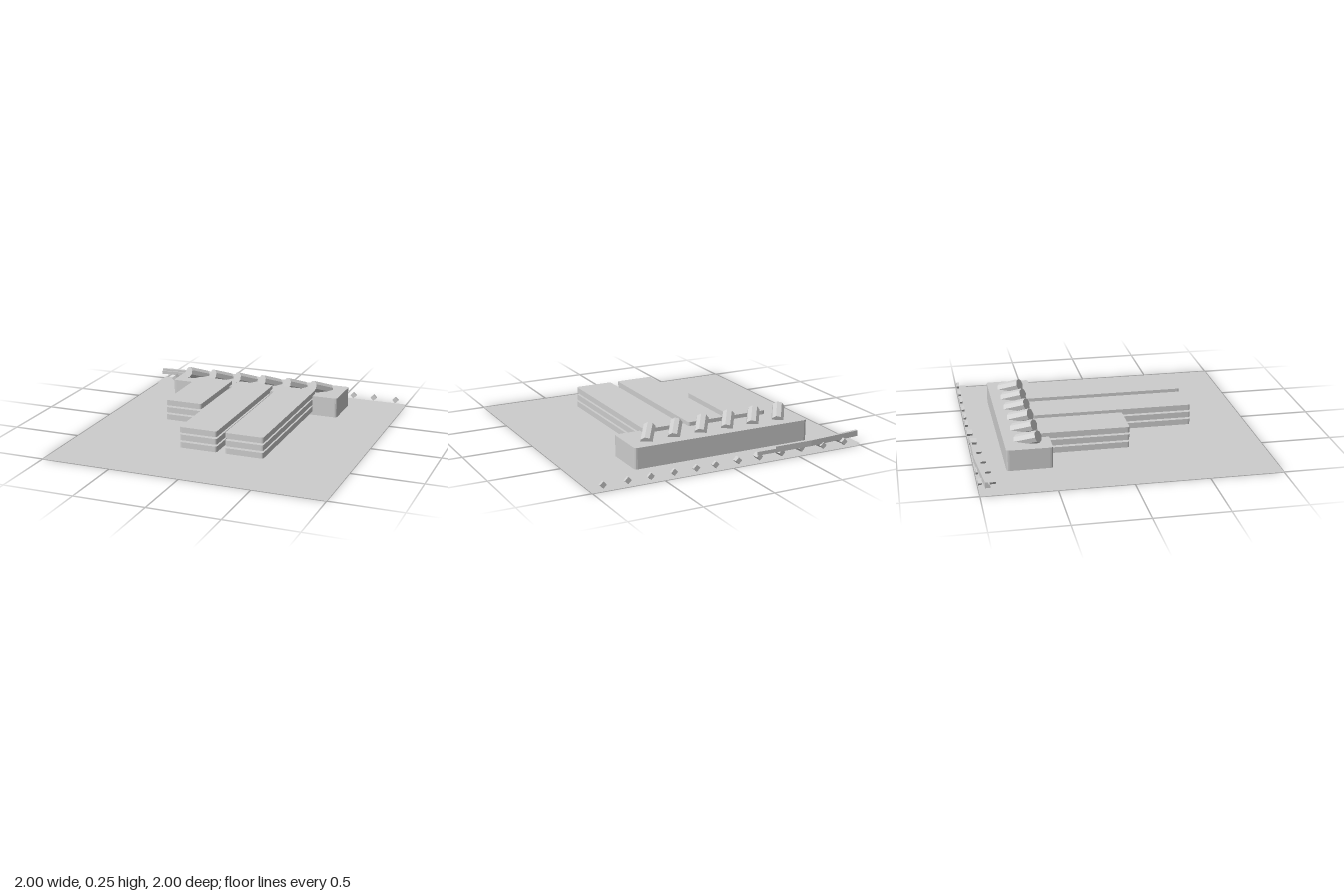
import * as THREE from 'three';

const grey = new THREE.MeshStandardMaterial({ color: 0xcccccc, flatShading: true, side: THREE.DoubleSide });
grey.name = 'lightGrey';

function add(parent, name, geometry) {
  const mesh = new THREE.Mesh(geometry, grey);
  mesh.name = name;
  parent.add(mesh);
  return mesh;
}

// Plan outline given as [x, z] points
const outline = pts => new THREE.Shape(pts.map(([x, z]) => new THREE.Vector2(x, -z)));

// Raise a plan outline from y0 to y1
function prism(shape, y0, y1) {
  return new THREE.ExtrudeGeometry(shape, { depth: y1 - y0, bevelEnabled: false, curveSegments: 3 })
    .rotateX(-Math.PI / 2).translate(0, y0, 0);
}

// Rectangle in plan with rounded corners
function roundedPlan(x0, x1, z0, z1, r) {
  const s = new THREE.Shape(), a = -z1, b = -z0;
  s.moveTo(x0 + r, a);
  s.lineTo(x1 - r, a); s.quadraticCurveTo(x1, a, x1, a + r);
  s.lineTo(x1, b - r); s.quadraticCurveTo(x1, b, x1 - r, b);
  s.lineTo(x0 + r, b); s.quadraticCurveTo(x0, b, x0, b - r);
  s.lineTo(x0, a + r); s.quadraticCurveTo(x0, a, x0 + r, a);
  return s;
}

export function createModel() {
  const model = new THREE.Group();
  model.name = 'siteModel';

  // Ground sheet and the road strip along the back
  add(model, 'ground', new THREE.PlaneGeometry(2, 2).rotateX(-Math.PI / 2));
  const road = outline([[-1, -0.82], [0.17, -0.93], [1, -0.925], [1, -1], [-1, -1]]);
  add(model, 'road', new THREE.ShapeGeometry(road).rotateX(-Math.PI / 2).translate(0, 0.013, 0));

  // Main hall
  add(model, 'hall', prism(roundedPlan(-0.695, 0.61, -0.795, -0.485, 0.02), 0.022, 0.167));

  // Three wings, each a stack of floor slabs
  for (const [x0, x1, z1] of [[-0.508, -0.235, 0.065], [-0.18, 0.09, 0.57], [0.15, 0.423, 0.57]]) {
    const wing = new THREE.Group();
    wing.name = 'wing';
    for (const y of [0.046, 0.1, 0.154])
      add(wing, 'floorSlab', prism(roundedPlan(x0, x1, -0.55, z1, 0.015), y, y + 0.04));
    model.add(wing);
  }

  // Slanted roof tubes sunk into the hall
  const up = new THREE.Vector3(0, 1, 0);
  const axis = new THREE.Vector3(-0.53, 0.34, 0.78).normalize();
  for (let i = 0; i < 6; i++) {
    const tube = add(model, 'roofTube', new THREE.CylinderGeometry(0.043, 0.043, 0.167, 8));
    tube.quaternion.setFromUnitVectors(up, axis);
    tube.position.set(-0.605 + 0.2 * i, 0.214, -0.572).addScaledVector(axis, -0.0835);
  }

  // Raised track crossing the back left corner
  const track = new THREE.Group();
  track.name = 'track';
  add(track, 'trackBeam', prism(outline([[-1, -0.932], [-0.18, -1], [-0.6, -1], [-1, -0.965]]), 0.055, 0.08));
  add(track, 'trackDeck', prism(outline([[-1, -0.944], [-0.32, -1], [-0.6, -1], [-1, -0.965]]), 0.08, 0.095));
  model.add(track);

  // Diamond-section posts lying along the road
  function post(x, zFront, length) {
    const zBack = Math.max(-1, zFront - length);
    const p = add(model, 'roadPost', new THREE.BoxGeometry(0.034, 0.034, zFront - zBack));
    p.rotation.order = 'YXZ';
    p.rotation.set(0, zBack > -1 ? 0.09 : 0, Math.PI / 4);
    p.position.set(x, 0.043, (zFront + zBack) / 2);
  }
  const xs = [-0.87, -0.7, -0.535, -0.37, -0.2, -0.04, 0.13, 0.27, 0.43, 0.595, 0.755, 0.925];
  xs.forEach((x, i) => post(x, Math.max(-0.98, -0.885 - 0.0155 * i), 0.066));
  post(-0.87, -0.976, 0.066);
  post(-0.7, -0.985, 0.066);

  return model;
}
